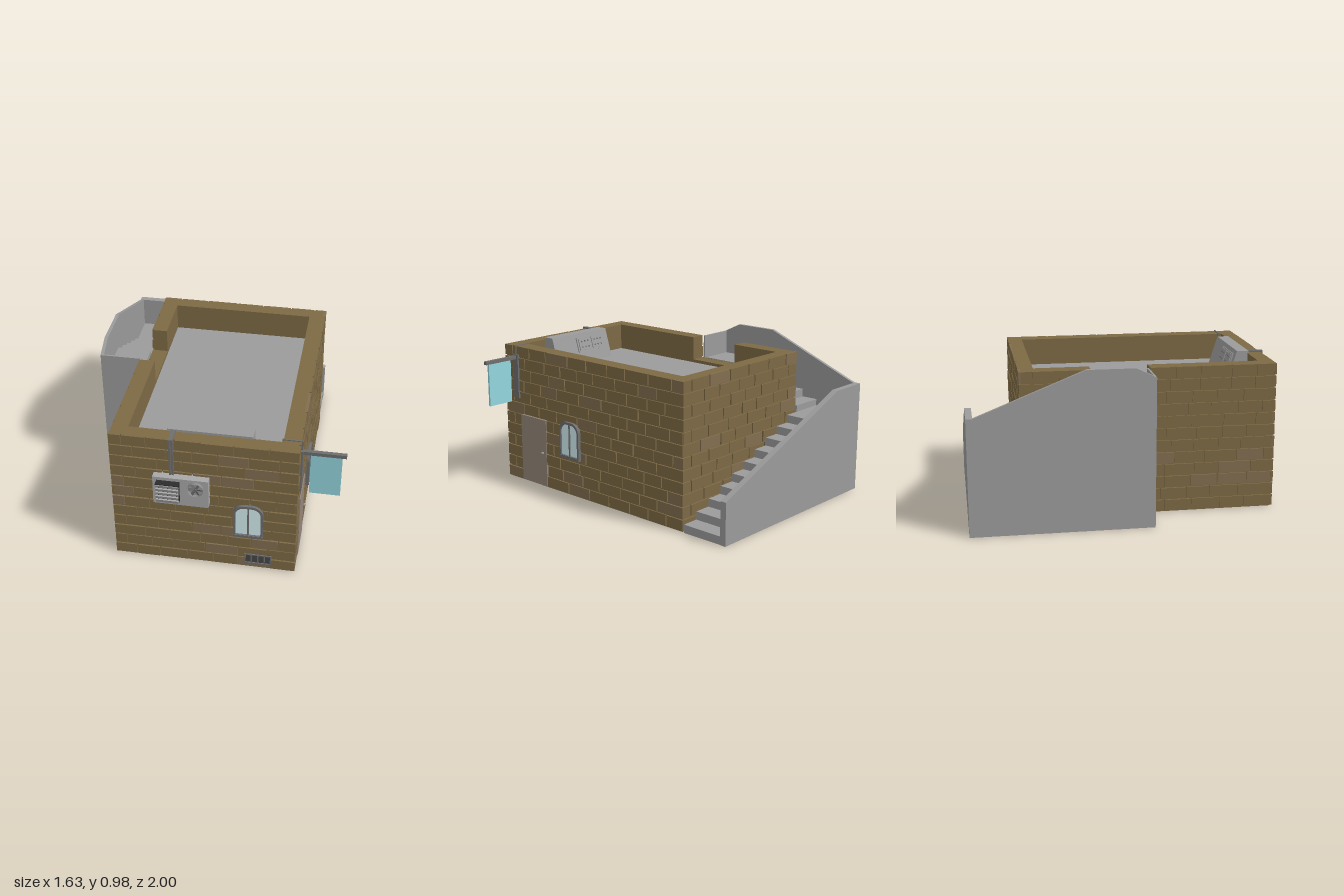
import * as THREE from 'three';
import { mergeGeometries } from 'three/addons/utils/BufferGeometryUtils.js';

const mat = (color) => new THREE.MeshStandardMaterial({ color, flatShading: true });
const GREY = mat(0x9b9b9b), CASE = mat(0xa8a8a8), FRAME = mat(0x6e6e6e), DARK = mat(0x464646), BLACK = mat(0x2c2c2c);
const BRICK = mat(0x7d6a45), PALE = mat(0x826e50), GLASS = mat(0xd5f0f3), CYAN = mat(0x94d6de), DOOR = mat(0x95867a);

function add(parent, name, geo, material) {
  const m = new THREE.Mesh(geo, material);
  m.name = name;
  parent.add(m);
  return m;
}
function boxGeo(x0, x1, y0, y1, z0, z1) {
  return new THREE.BoxGeometry(x1 - x0, y1 - y0, z1 - z0)
    .translate((x0 + x1) / 2, (y0 + y1) / 2, (z0 + z1) / 2);
}
const box = (p, name, m, ...d) => add(p, name, boxGeo(...d), m);
const shapeOf = (pts) => new THREE.Shape(pts.map(([a, b]) => new THREE.Vector2(a, b)));
const extrude = (shape, depth) => new THREE.ExtrudeGeometry(shape, { depth, bevelEnabled: false, curveSegments: 8 });
// Profile in (x, y), running from z0 to z1
const alongZ = (pts, z0, z1) => extrude(shapeOf(pts), z1 - z0).translate(0, 0, z0);
// Profile in (z, y), running from x0 to x1
const alongX = (pts, x0, x1) => extrude(shapeOf(pts), x1 - x0).rotateY(-Math.PI / 2).translate(x1, 0, 0);

let seed = 11;
const rand = () => (seed = (seed * 16807) % 2147483647) / 2147483647;

const H = 0.925, ROOF = 0.75, SILL = 0.77;
const NOTCH = [-0.24, 0.12];

// Raised bricks on one wall; hole is an opening [from, to] above the sill
function bricks(parent, name, width, rotY, x, z, hole) {
  const sets = [[], []], rows = 12, rowH = H / rows, gap = 0.008;
  const put = (a, b, y) => {
    if (b - a < 0.015) return;
    const out = 0.008 + rand() * 0.004;
    sets[rand() < 0.15 ? 1 : 0].push(boxGeo(a, b, y, y + rowH - gap, -0.005, out));
  };
  for (let r = 0; r < rows; r++) {
    const y = r * rowH + gap;
    let a = -width / 2, first = true;
    while (a < width / 2) {
      const len = first && r % 2 ? 0.08 : 0.14 + rand() * 0.07;
      let b = a + len;
      if (width / 2 - b < 0.06) b = width / 2;
      const end = b === width / 2 ? b : b - gap;
      if (hole && y + rowH > SILL + 0.02) {
        put(a, Math.min(end, hole[0]), y);
        put(Math.max(a, hole[1]), end, y);
      } else put(a, end, y);
      a = b;
      first = false;
    }
  }
  sets.forEach((s, i) => {
    if (!s.length) return;
    const m = add(parent, name, mergeGeometries(s), i ? PALE : BRICK);
    m.rotation.y = rotY;
    m.position.set(x, 0, z);
  });
}

// Window outline with rounded upper corners
function archPath(P, w, h, r) {
  const p = new P();
  p.moveTo(-w / 2, 0);
  p.lineTo(w / 2, 0);
  p.lineTo(w / 2, h - r);
  p.absarc(w / 2 - r, h - r, r, 0, Math.PI / 2, false);
  p.lineTo(-w / 2 + r, h);
  p.absarc(-w / 2 + r, h - r, r, Math.PI / 2, Math.PI, false);
  p.closePath();
  return p;
}
function makeWindow(name) {
  const g = new THREE.Group();
  g.name = name;
  const ring = archPath(THREE.Shape, 0.18, 0.24, 0.065);
  ring.holes.push(new THREE.Path(archPath(THREE.Path, 0.152, 0.21, 0.053).getPoints(8)
    .map((p) => new THREE.Vector2(p.x, p.y + 0.014))));
  add(g, 'windowFrame', extrude(ring, 0.03), FRAME);
  add(g, 'windowGlass', extrude(archPath(THREE.Shape, 0.155, 0.212, 0.054), 0.018).translate(0, 0.013, 0), GLASS);
  box(g, 'mullion', FRAME, -0.005, 0.005, 0.01, 0.23, 0, 0.025);
  box(g, 'windowSill', FRAME, -0.092, 0.092, -0.004, 0.012, 0, 0.032);
  return g;
}

function building(root) {
  const g = new THREE.Group();
  g.name = 'building';
  root.add(g);
  // Wall cores, the left one notched where the stairs arrive
  box(g, 'frontWall', BRICK, -0.55, 0.545, 0, H, 0.82, 0.902);
  box(g, 'backWall', BRICK, -0.55, 0.545, 0, H, -0.665, -0.58);
  box(g, 'rightWall', BRICK, 0.45, 0.545, 0, H, -0.58, 0.82);
  add(g, 'leftWall', alongX([[-0.58, 0], [0.82, 0], [0.82, H], [NOTCH[1], H], [NOTCH[1], SILL],
    [NOTCH[0], SILL], [NOTCH[0], H], [-0.58, H]], -0.55, -0.46), BRICK);
  box(g, 'roof', GREY, -0.46, 0.45, ROOF - 0.03, ROOF, -0.58, 0.82);
  box(g, 'floor', GREY, -0.46, 0.45, 0.003, 0.03, -0.58, 0.82);
  bricks(g, 'frontBricks', 1.115, 0, -0.003, 0.902);
  bricks(g, 'rightBricks', 1.584, Math.PI / 2, 0.545, 0.12);
  bricks(g, 'backBricks', 1.115, Math.PI, -0.003, -0.665);
  bricks(g, 'leftBricks', 1.584, -Math.PI / 2, -0.55, 0.12, NOTCH.map((z) => z - 0.12));

  // Windows, door and low vent
  const w1 = makeWindow('frontWindow');
  w1.position.set(0.267, 0.26, 0.9);
  const w2 = makeWindow('sideWindow');
  w2.position.set(0.545, 0.26, 0.287);
  w2.rotation.y = Math.PI / 2;
  g.add(w1, w2);
  box(g, 'door', DOOR, 0.53, 0.56, 0.008, 0.465, 0.52, 0.765);
  add(g, 'doorKnob', new THREE.SphereGeometry(0.01, 12, 8).translate(0.569, 0.238, 0.55), GREY);
  box(g, 'ventPlate', DARK, 0.247, 0.412, 0.042, 0.116, 0.9, 0.917);
  for (let i = 0; i < 5; i++) {
    const x = 0.247 + i * 0.0393;
    box(g, 'ventBar', FRAME, x, x + 0.008, 0.042, 0.116, 0.91, 0.924);
  }
  for (const y of [0.042, 0.109]) box(g, 'ventRim', FRAME, 0.247, 0.412, y, y + 0.007, 0.91, 0.924);
}

function stairs(root) {
  const g = new THREE.Group();
  g.name = 'outsideStairs';
  root.add(g);
  const rise = 0.052, run = 0.1128;
  // Lower flight along the back, ending in the corner landing
  const low = [[-0.8, 0], [0.55, 0]];
  for (let i = 0; i < 10; i++) {
    low.push([0.55 - i * run, (i + 1) * rise], [i < 9 ? 0.55 - (i + 1) * run : -0.8, (i + 1) * rise]);
  }
  add(g, 'lowerFlight', alongZ(low, -0.97, -0.68), GREY);
  // Upper flight along the left side, ending at the roof opening
  const up = [[0.105, 0], [-0.68, 0]];
  for (let i = 0; i < 5; i++) {
    const y = (10 + i + 1) * rise - 0.01;
    up.push([-0.68 + i * run, y], [i < 4 ? -0.68 + (i + 1) * run : 0.105, y]);
  }
  add(g, 'upperFlight', alongX(up.reverse(), -0.8, -0.572), GREY);
  // Parapets
  add(g, 'backParapet', alongZ([[-0.817, 0], [0.553, 0], [0.553, 0.27], [-0.556, 0.72], [-0.817, 0.72]], -1, -0.96), GREY);
  add(g, 'sideParapet', alongX([[-0.999, 0], [0.11, 0], [0.11, H], [-0.01, 0.984], [-0.3, 0.984],
    [-0.96, 0.72], [-0.999, 0.72]], -0.818, -0.796), GREY);
  box(g, 'endParapet', GREY, -0.817, -0.558, 0, H, 0.1, 0.112);
}

function airConditioner(root) {
  const g = new THREE.Group();
  g.name = 'airConditioner';
  root.add(g);
  box(g, 'unitCase', CASE, -0.298, 0.035, 0.483, 0.68, 0.895, 0.957);
  // Louvre box: dark body and lid, slats leaning outwards
  box(g, 'louvreBody', BLACK, -0.274, -0.136, 0.52, 0.654, 0.95, 0.984);
  box(g, 'louvreLid', BLACK, -0.274, -0.136, 0.654, 0.659, 0.95, 0.998);
  for (let i = 0; i < 5; i++) {
    const y = 0.52 + i * 0.027;
    add(g, 'louvre', alongX([[0.982, y], [0.99, y], [0.997, y + 0.021], [0.982, y + 0.021]], -0.273, -0.137), CASE);
  }
  // Fan
  const fan = new THREE.Group();
  fan.name = 'fan';
  fan.position.set(-0.04, 0.622, 0.957);
  g.add(fan);
  add(fan, 'fanRing', new THREE.CylinderGeometry(0.047, 0.047, 0.02, 24, 1, true).rotateX(Math.PI / 2)
    .translate(0, 0, 0.01), new THREE.MeshStandardMaterial({ color: 0x8a8a8a, side: THREE.DoubleSide }));
  add(fan, 'fanBack', new THREE.CircleGeometry(0.046, 24).translate(0, 0, 0.002), GREY);
  add(fan, 'fanHub', new THREE.CylinderGeometry(0.009, 0.009, 0.018, 12).rotateX(Math.PI / 2).translate(0, 0, 0.009), FRAME);
  for (let i = 0; i < 6; i++) {
    const blade = add(fan, 'fanBlade', new THREE.BoxGeometry(0.034, 0.017, 0.003).rotateX(0.5).translate(0.026, 0, 0.011), FRAME);
    blade.rotation.z = (i * Math.PI) / 3;
  }
  // Duct from the roof cabinet over the wall
  box(g, 'ductTop', FRAME, -0.203, -0.176, H, H + 0.01, 0.8, 0.926);
  for (const x of [-0.203, -0.187]) box(g, 'ductDrop', FRAME, x, x + 0.011, 0.67, H + 0.01, 0.905, 0.926);
}

function roofCabinet(root) {
  const g = new THREE.Group();
  g.name = 'roofCabinet';
  root.add(g);
  add(g, 'cabinetBody', alongX([[0.69, ROOF], [0.825, ROOF], [0.825, 0.94], [0.75, 0.94]], -0.228, 0.277), GREY);
  // Control panel lying on the sloped face
  const panel = new THREE.Group();
  panel.name = 'controlPanel';
  panel.position.set(-0.055, 0.865, 0.7265);
  panel.rotation.x = Math.atan2(0.06, 0.19);
  g.add(panel);
  box(panel, 'panelPlate', GREY, -0.125, 0.125, -0.05, 0.05, -0.008, 0.006);
  for (const x of [-0.06, 0.06]) {
    box(panel, 'panelDoor', GREY, x - 0.053, x + 0.053, -0.042, 0.042, -0.014, 0);
    for (const dx of [-0.03, 0, 0.03]) {
      for (const y of [-0.02, 0.02]) box(panel, 'panelButton', FRAME, x + dx - 0.005, x + dx + 0.005, y - 0.005, y + 0.005, -0.017, 0);
    }
  }
}

function hangingSign(root) {
  const g = new THREE.Group();
  g.name = 'hangingSign';
  root.add(g);
  box(g, 'wallBracket', FRAME, 0.545, 0.566, 0.575, 0.87, 0.775, 0.825);
  box(g, 'pole', FRAME, 0.55, 0.817, 0.841, 0.863, 0.788, 0.812);
  box(g, 'banner', CYAN, 0.61, 0.793, 0.56, 0.845, 0.793, 0.807);
  // Thin cable from the roof cabinet over the wall to the bracket
  box(g, 'cableRun', FRAME, 0.27, 0.45, ROOF, ROOF + 0.008, 0.796, 0.804);
  box(g, 'cableRise', FRAME, 0.443, 0.451, ROOF, H + 0.006, 0.796, 0.804);
  box(g, 'cableTop', FRAME, 0.443, 0.563, H - 0.002, H + 0.006, 0.796, 0.804);
  box(g, 'cableDrop', FRAME, 0.555, 0.563, 0.865, H + 0.006, 0.796, 0.804);
}

export function createModel() {
  const root = new THREE.Group();
  root.name = 'cornerHouse';
  for (const part of [building, stairs, airConditioner, roofCabinet, hangingSign]) part(root);
  return root;
}
